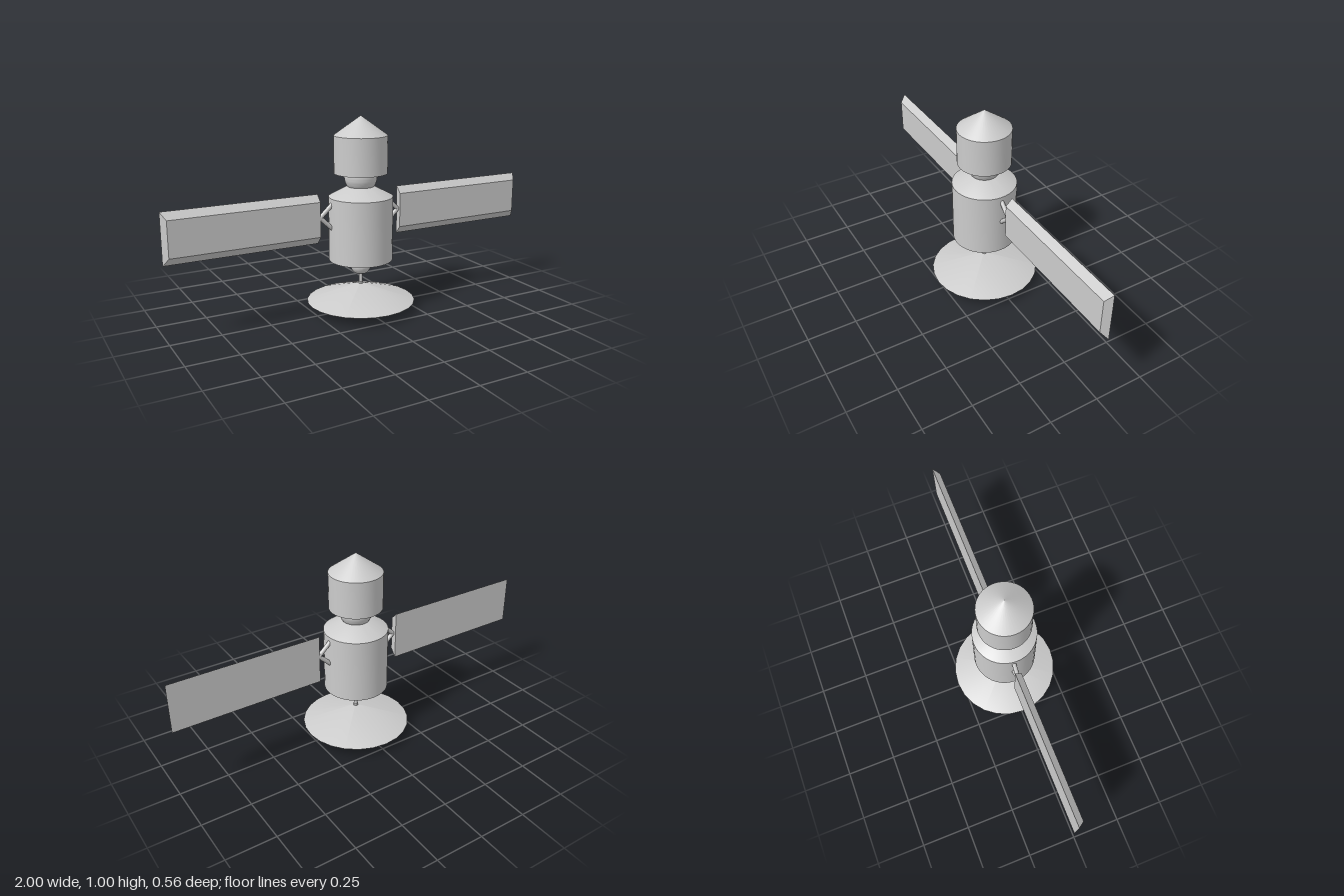
import * as THREE from 'three';
import { toCreasedNormals } from 'three/addons/utils/BufferGeometryUtils.js';

const material = new THREE.MeshStandardMaterial({ color: 0xcccccc });

function add(parent, name, geometry) {
  const mesh = new THREE.Mesh(geometry, material);
  mesh.name = name;
  parent.add(mesh);
  return mesh;
}

// Turned part: profile of [radius, y] points, listed from bottom to top
function turned(profile, segments = 40) {
  const points = profile.map(([r, y]) => new THREE.Vector2(r, y));
  return toCreasedNormals(new THREE.LatheGeometry(points, segments), 0.5);
}

// Ball cut flat at its lower and upper ends
function cutBall(radius, centerY, low, high) {
  const profile = [[0, low]];
  for (let i = 0; i <= 12; i++) {
    const y = low + ((high - low) * i) / 12;
    profile.push([Math.sqrt(Math.max(0, radius ** 2 - (y - centerY) ** 2)), y]);
  }
  profile.push([0, high]);
  return turned(profile, 32);
}

// Round rod between two points
function rod(a, b, radius) {
  const geometry = new THREE.CylinderGeometry(radius, radius, a.distanceTo(b), 12);
  const direction = b.clone().sub(a).normalize();
  geometry.applyQuaternion(
    new THREE.Quaternion().setFromUnitVectors(new THREE.Vector3(0, 1, 0), direction));
  const middle = a.clone().add(b).multiplyScalar(0.5);
  return geometry.translate(middle.x, middle.y, middle.z);
}

// Solar panel: a box whose front face is drawn in at the top, bottom and outer end
function panel(side, back, front) {
  const geometry = new THREE.BoxGeometry(2, 2, 2);
  const p = geometry.attributes.position;
  for (let i = 0; i < p.count; i++) {
    const isFront = p.getZ(i) > 0;
    const isOuter = p.getX(i) * side > 0;
    const isTop = p.getY(i) > 0;
    const x = isOuter ? (isFront ? 0.978 : 1) : 0.225;
    const y = isTop ? (isFront ? 0.587 : 0.622) : (isFront ? 0.41 : 0.37);
    p.setXYZ(i, side * x, y, isFront ? front : back);
  }
  geometry.computeVertexNormals();
  return geometry;
}

export function createModel() {
  const model = new THREE.Group();
  model.name = 'satellite';

  // Central stack
  add(model, 'head', turned([[0, 0.714], [0.135, 0.714], [0.135, 0.903], [0, 1]]));
  add(model, 'neckBall', cutBall(0.083, 0.695, 0.64, 0.725));
  add(model, 'body', turned([[0, 0.268], [0.163, 0.268], [0.163, 0.596], [0.062, 0.65], [0, 0.65]]));
  add(model, 'lowerBall', cutBall(0.053, 0.237, 0.195, 0.28));

  // Dish, open downwards, with its mast and feed
  const dish = new THREE.Group();
  dish.name = 'dishAntenna';
  model.add(dish);
  add(dish, 'reflector', turned([[0, 0.13], [0.275, 0.047], [0.278, 0.049], [0.012, 0.136], [0, 0.136]], 24));
  add(dish, 'mast', rod(new THREE.Vector3(0, 0.13, 0), new THREE.Vector3(0, 0.2, 0), 0.009));
  add(dish, 'mastCollar', rod(new THREE.Vector3(0, 0.115, 0), new THREE.Vector3(0, 0.144, 0), 0.013));
  add(dish, 'feedRod', rod(new THREE.Vector3(0, 0.02, 0), new THREE.Vector3(0, 0.13, 0), 0.004));
  add(dish, 'feedBall', new THREE.SphereGeometry(0.018, 20, 14).translate(0, 0.018, 0));

  // Wings, each held by a pair of struts meeting at the panel
  for (const side of [1, -1]) {
    const wing = new THREE.Group();
    wing.name = side > 0 ? 'leftWing' : 'rightWing';
    model.add(wing);
    const back = side > 0 ? -0.021 : -0.033;
    add(wing, 'solarPanel', panel(side, back, back + 0.034));
    const z = side > 0 ? -0.006 : -0.012;
    const tip = new THREE.Vector3(side * 0.222, 0.505, z);
    for (const y of [0.572, 0.438]) {
      add(wing, 'strut', rod(new THREE.Vector3(side * 0.15, y, z), tip, 0.011));
    }
  }
  return model;
}
